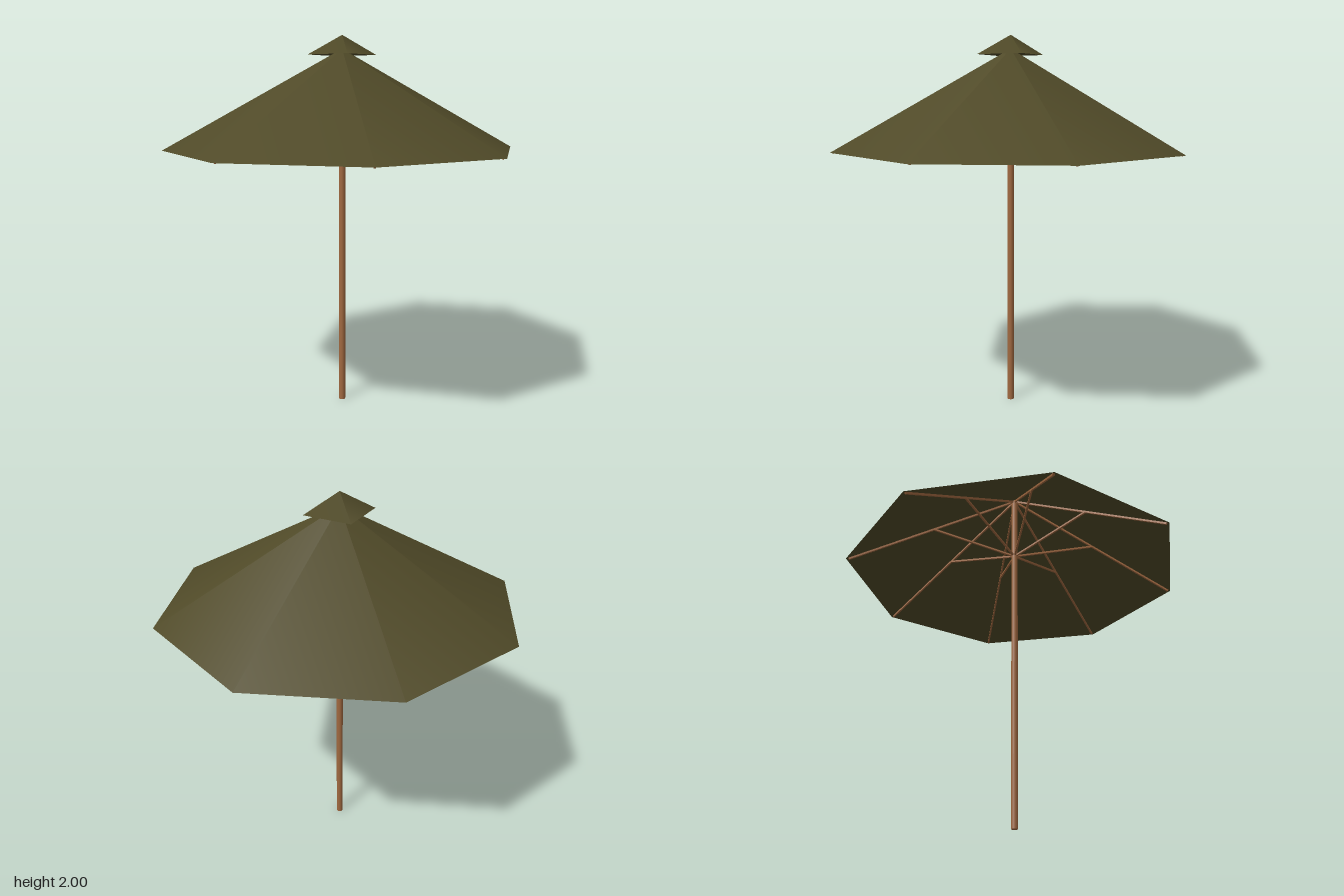
import * as THREE from 'three';

export function createModel() {
  const group = new THREE.Group();
  group.name = 'parasol';
  const fabric = new THREE.MeshStandardMaterial({ color: 0x504a28, side: THREE.DoubleSide });
  fabric.name = 'olive fabric';
  const wood = new THREE.MeshStandardMaterial({ color: 0xa0683f });
  wood.name = 'brown wood';

  const SIDES = 8, RADIUS = 0.935, RIM_Y = 1.415, APEX_Y = 1.93, HUB_Y = 1.54;

  // Open cone standing on a given height, corners on the axes
  function cone(name, radius, bottom, top, sides) {
    const mesh = new THREE.Mesh(new THREE.ConeGeometry(radius, top - bottom, sides, 1, true), fabric);
    mesh.position.y = (bottom + top) / 2;
    mesh.name = name;
    group.add(mesh);
  }

  // Thin square bar between two points
  function bar(name, a, b, width, parent) {
    const dir = b.clone().sub(a);
    const mesh = new THREE.Mesh(new THREE.BoxGeometry(width, dir.length(), width), wood);
    mesh.position.copy(a).add(b).multiplyScalar(0.5);
    mesh.quaternion.setFromUnitVectors(new THREE.Vector3(0, 1, 0), dir.normalize());
    mesh.name = name;
    parent.add(mesh);
  }

  // Canopy and the small vent cap above it
  cone('canopy', RADIUS, RIM_Y, APEX_Y, SIDES);
  cone('ventCap', 0.18, 1.9, 2, 4);

  // Pole
  const pole = new THREE.Mesh(new THREE.CylinderGeometry(0.018, 0.018, 1.93, 12), wood);
  pole.position.y = 0.965;
  pole.name = 'pole';
  group.add(pole);

  // Ribs under the folds, each braced by a strut from the pole
  for (let i = 0; i < SIDES; i++) {
    const arm = new THREE.Group();
    arm.name = 'ribAndStrut';
    arm.rotation.y = (i / SIDES) * Math.PI * 2;
    const drop = 0.009;
    bar('rib', new THREE.Vector3(0, APEX_Y - drop - 0.006, 0.01),
      new THREE.Vector3(0, RIM_Y + 0.008 - drop, RADIUS - 0.015), 0.01, arm);
    bar('strut', new THREE.Vector3(0, HUB_Y, 0),
      new THREE.Vector3(0, (APEX_Y + RIM_Y) / 2 - drop, RADIUS / 2), 0.01, arm);
    group.add(arm);
  }
  return group;
}
